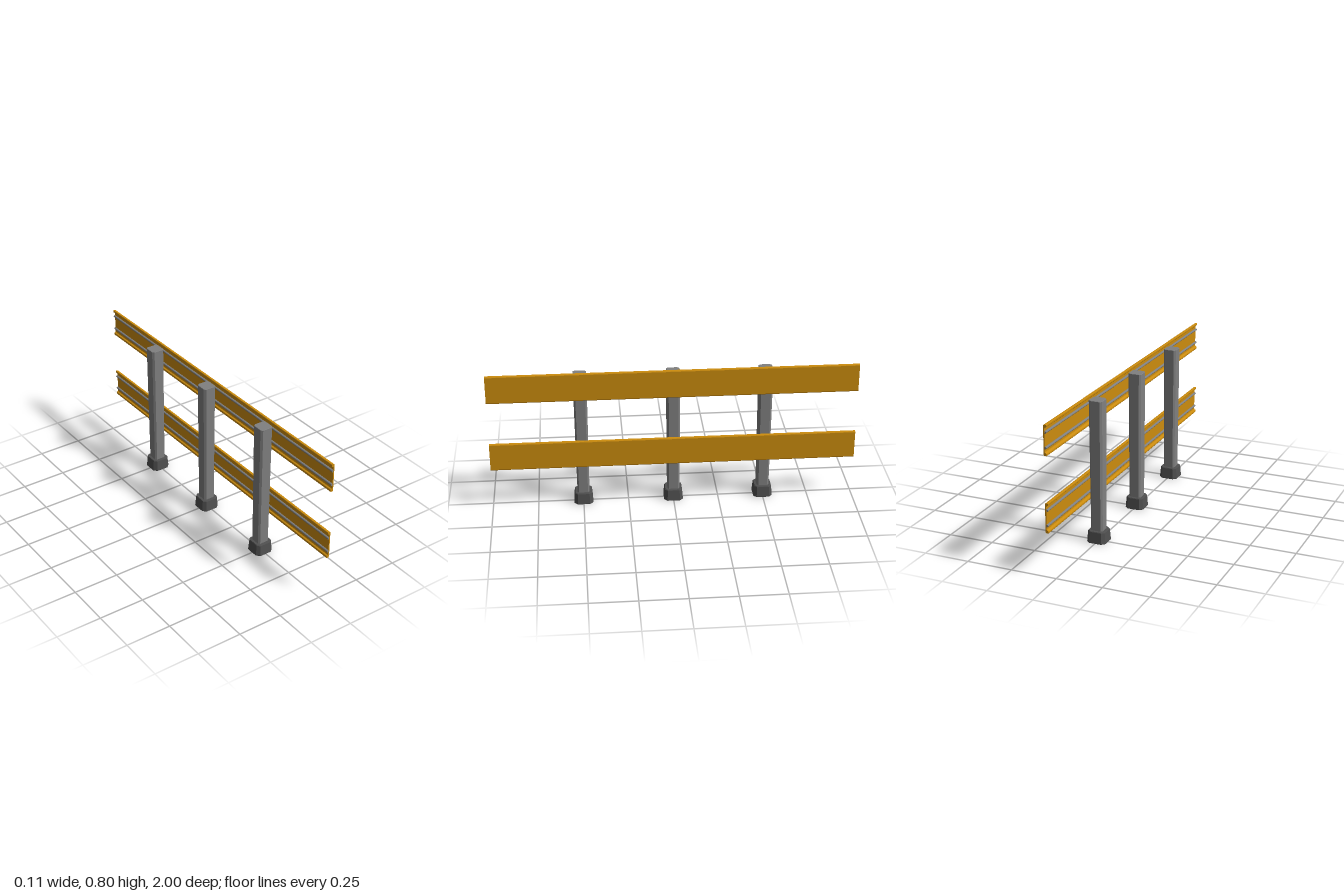
import * as THREE from 'three';

const LENGTH = 2;

// Loft through chamfered-square rings, each [half width, chamfer, y]
function loft(rings) {
  const loops = rings.map(([h, c, y]) => {
    const k = h - c;
    return [[h, k], [k, h], [-k, h], [-h, k], [-h, -k], [-k, -h], [k, -h], [h, -k]]
      .map(([x, z]) => [x, y, -z]);
  });
  const pos = [];
  for (let r = 0; r < loops.length - 1; r++) {
    const a = loops[r], b = loops[r + 1];
    for (let i = 0; i < 8; i++) {
      const j = (i + 1) % 8;
      pos.push(...a[i], ...a[j], ...b[j]);
      if (rings[r + 1][0] > 0) pos.push(...a[i], ...b[j], ...b[i]);
    }
  }
  const geo = new THREE.BufferGeometry();
  geo.setAttribute('position', new THREE.Float32BufferAttribute(pos, 3));
  geo.computeVertexNormals();
  return geo;
}

// Extrude an x-y section along the full length, centred on z
function alongZ(shape) {
  return new THREE.ExtrudeGeometry(shape, { depth: LENGTH, bevelEnabled: false, curveSegments: 8 })
    .translate(0, 0, -LENGTH / 2);
}

export function createModel() {
  const orange = new THREE.MeshStandardMaterial({ color: 0xcc8c0e });
  orange.name = 'railOrange';
  const grey = new THREE.MeshStandardMaterial({ color: 0x808080, side: THREE.DoubleSide });
  grey.name = 'postGrey';
  const dark = new THREE.MeshStandardMaterial({ color: 0x505050 });
  dark.name = 'footDarkGrey';

  const model = new THREE.Group();
  model.name = 'guardRail';
  const add = (parent, name, geo, mat) => {
    const mesh = new THREE.Mesh(geo, mat);
    mesh.name = name;
    parent.add(mesh);
    return mesh;
  };

  // Hollow post, slightly wider at the top, with a closed top
  const postGeo = loft([
    [0.033, 0.009, 0], [0.037, 0.01, 0.777], [0.0355, 0.01, 0.779], [0, 0, 0.779],
  ]);
  // Tapered foot sleeve around the post, open underneath
  const footGeo = loft([
    [0.034, 0.01, 0.06], [0.035, 0.012, 0.001], [0.052, 0.018, 0],
    [0.0527, 0.018, 0.003], [0.0475, 0.015, 0.061], [0.0455, 0.015, 0.065], [0.033, 0.009, 0.066],
  ]);
  for (const z of [-0.5, 0, 0.5]) {
    const support = new THREE.Group();
    support.name = 'support';
    support.position.set(-0.001, 0, z);
    add(support, 'post', postGeo, grey);
    add(support, 'foot', footGeo, dark);
    model.add(support);
  }

  // C-shaped board: upper half of the section, mirrored below
  const upper = [
    [0.046, 0.06], [0.0445, 0.0635], [0.042, 0.065], [0.0385, 0.066], [0.0365, 0.068],
    [0.0358, 0.071], [0.0358, 0.077], [0.0375, 0.0795], [0.046, 0.0795], [0.05, 0.078],
    [0.052, 0.074],
  ];
  const lower = upper.map(([x, y]) => [x, -y]).reverse();
  const section = new THREE.Shape([...upper, ...lower].map(([x, y]) => new THREE.Vector2(x, y)));
  const boardGeo = alongZ(section);

  // Half-round rod behind the board
  const half = new THREE.Shape();
  half.absellipse(0.0458, 0, 0.0092, 0.0068, Math.PI / 2, Math.PI * 1.5, false, 0);
  half.closePath();
  const rodGeo = alongZ(half);

  for (const y of [0.315, 0.719]) {
    const rail = new THREE.Group();
    rail.name = 'rail';
    rail.position.y = y;
    add(rail, 'board', boardGeo, orange);
    for (const s of [-1, 1]) add(rail, 'rod', rodGeo, grey).position.y = s * 0.04;
    model.add(rail);
  }
  return model;
}
